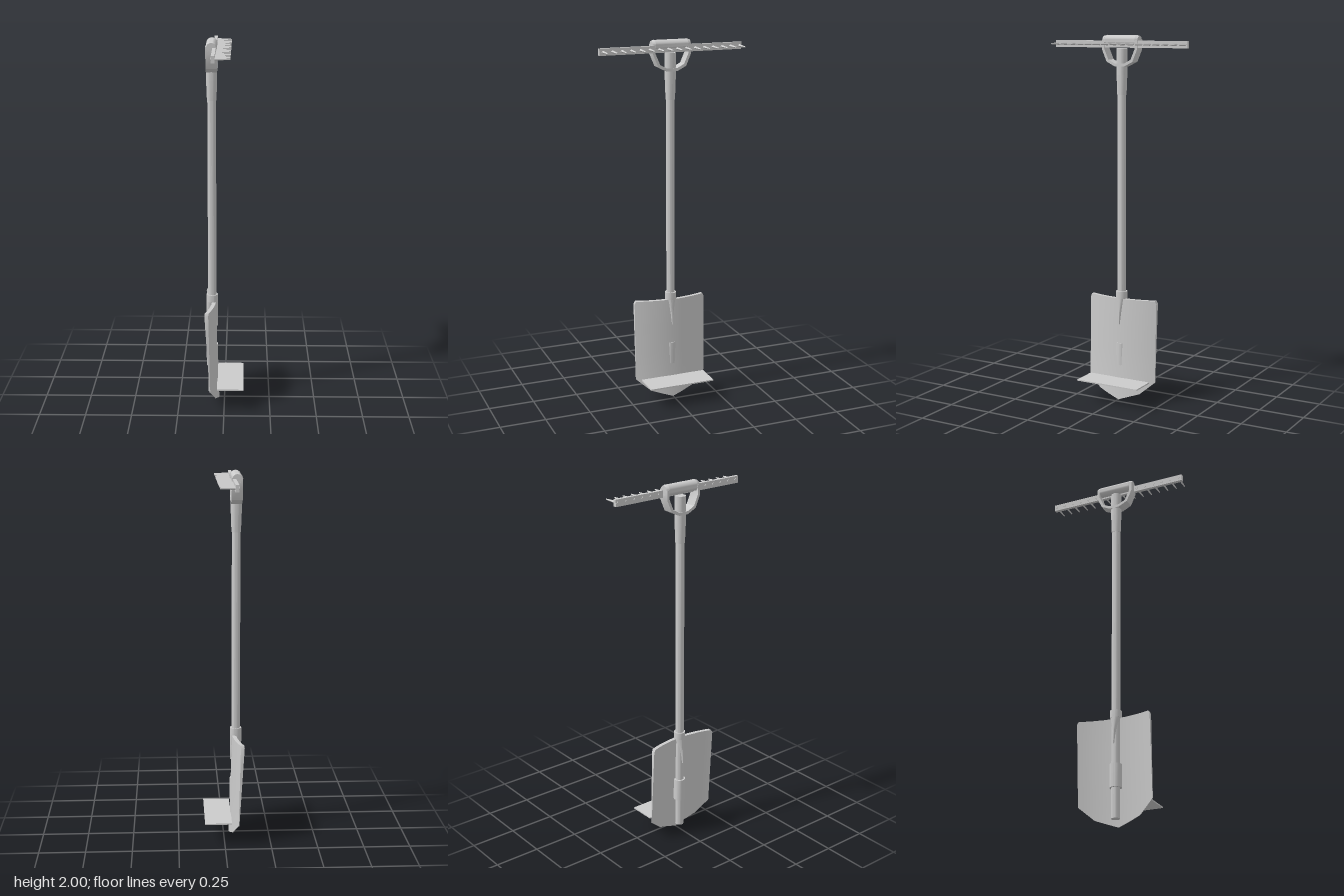
import * as THREE from 'three';
import { toCreasedNormals } from 'three/addons/utils/BufferGeometryUtils.js';

const AXIS = -0.067; // x of the shaft
const lerp = THREE.MathUtils.lerp;
const material = new THREE.MeshStandardMaterial({ color: 0xcccccc, side: THREE.DoubleSide });

function add(parent, name, geometry, x = 0, y = 0, z = 0) {
  const mesh = new THREE.Mesh(toCreasedNormals(geometry, 0.6), material);
  mesh.name = name;
  mesh.position.set(x, y, z);
  parent.add(mesh);
  return mesh;
}

// Upright round section between two heights
function upright(parent, name, rTop, rBottom, y0, y1) {
  return add(parent, name, new THREE.CylinderGeometry(rTop, rBottom, y1 - y0, 20), AXIS, (y0 + y1) / 2);
}

// Curved blade: a box whose vertices follow the outline, bow and lean
function bladeGeometry() {
  const cols = [-1, -0.96, -0.8, -0.61, -0.3, 0, 0.3, 0.61, 0.8, 0.96, 1];
  const rows = 4;
  const geo = new THREE.BoxGeometry(1, 1, 1, 1, rows, cols.length - 1);
  const p = geo.attributes.position;
  for (let i = 0; i < p.count; i++) {
    const u = cols[Math.round((p.getZ(i) + 0.5) * (cols.length - 1))];
    const row = Math.round((p.getY(i) + 0.5) * rows);
    const a = Math.abs(u);
    const bottom = a < 0.61 ? lerp(0.005, 0.05, a / 0.61) : lerp(0.05, 0.12, (a - 0.61) / 0.39);
    const top = a === 1 ? 0.56 : 0.575;
    const y = row === 0 ? bottom : lerp(0.13, top, (row - 1) / (rows - 1));
    const t = (y - 0.13) / 0.445;
    const middle = t > 0 ? lerp(-0.036, -0.046, t) : lerp(-0.036, -0.028, -t * 3.56);
    let x = middle - 0.038 * u * u;
    if (p.getX(i) < 0) x -= lerp(0.004, 0.021, Math.max(t, 0));
    p.setXYZ(i, x, y, 0.205 * u);
  }
  return geo;
}

// Tongue that keeps its depth while narrowing to a point
function tongueGeometry() {
  const geo = new THREE.CylinderGeometry(0.031, 0.031, 0.145, 20, 4);
  const p = geo.attributes.position;
  for (let i = 0; i < p.count; i++) {
    p.setZ(i, p.getZ(i) * lerp(0.05, 0.85, p.getY(i) / 0.145 + 0.5));
  }
  return geo;
}

// Angular yoke that carries the grip
function yokeGeometry() {
  const outer = [[0.106, 1.975], [0.106, 1.925], [0.078, 1.86], [0.028, 1.835]];
  const inner = [[0.028, 1.851], [0.067, 1.871], [0.092, 1.928], [0.092, 1.975]];
  const half = [...outer, ...inner];
  const mirrored = (list) => list.map(([z, y]) => [-z, y]).reverse();
  const outline = [...outer, ...mirrored(outer), ...mirrored(inner), ...inner];
  const shape = new THREE.Shape(outline.map(([z, y]) => new THREE.Vector2(z, y)));
  return new THREE.ExtrudeGeometry(shape, { depth: 0.058, bevelEnabled: false })
    .translate(0, 0, -0.029).rotateY(Math.PI / 2);
}

export function createModel() {
  const model = new THREE.Group();
  model.name = 'gardenTool';

  // Shaft and its sleeves
  upright(model, 'shaft', 0.023, 0.023, 0.04, 1.9);
  upright(model, 'upperSleeve', 0.029, 0.029, 1.79, 1.93);
  upright(model, 'upperSleeveTaper', 0.029, 0.025, 1.685, 1.79);
  upright(model, 'bladeCollar', 0.031, 0.031, 0.575, 0.615);
  upright(model, 'lowerSleeve', 0.032, 0.032, 0.2, 0.325);

  // Blade with tongue and step plate
  const blade = new THREE.Group();
  blade.name = 'bladeAssembly';
  model.add(blade);
  add(blade, 'blade', bladeGeometry());
  add(blade, 'tongue', tongueGeometry(), AXIS, 0.5025);
  add(blade, 'stepPlate', new THREE.BoxGeometry(0.146, 0.007, 0.37), 0.034, 0.125, -0.002);

  // Handle
  const handle = new THREE.Group();
  handle.name = 'handle';
  model.add(handle);
  add(handle, 'yoke', yokeGeometry(), AXIS);
  add(handle, 'grip', new THREE.CylinderGeometry(0.029, 0.029, 0.185, 24).rotateX(Math.PI / 2), AXIS, 1.97);
  for (const side of [1, -1]) {
    const cap = new THREE.CylinderGeometry(0.025, 0.03, 0.016, 24).rotateX(side * Math.PI / 2);
    add(handle, 'gripCap', cap, AXIS, 1.97, side * 0.098);
  }

  // Rake head
  const rake = new THREE.Group();
  rake.name = 'rakeHead';
  model.add(rake);
  add(rake, 'rakeBar', new THREE.BoxGeometry(0.018, 0.037, 0.792), -0.051, 1.952, 0);
  for (let i = 0; i < 16; i++) {
    const tine = new THREE.CylinderGeometry(0.0035, 0.0085, 0.098, 4).rotateZ(-Math.PI / 2);
    add(rake, 'tine', tine, -0.014, 1.952, -0.383 + i * 0.0506);
  }
  return model;
}
